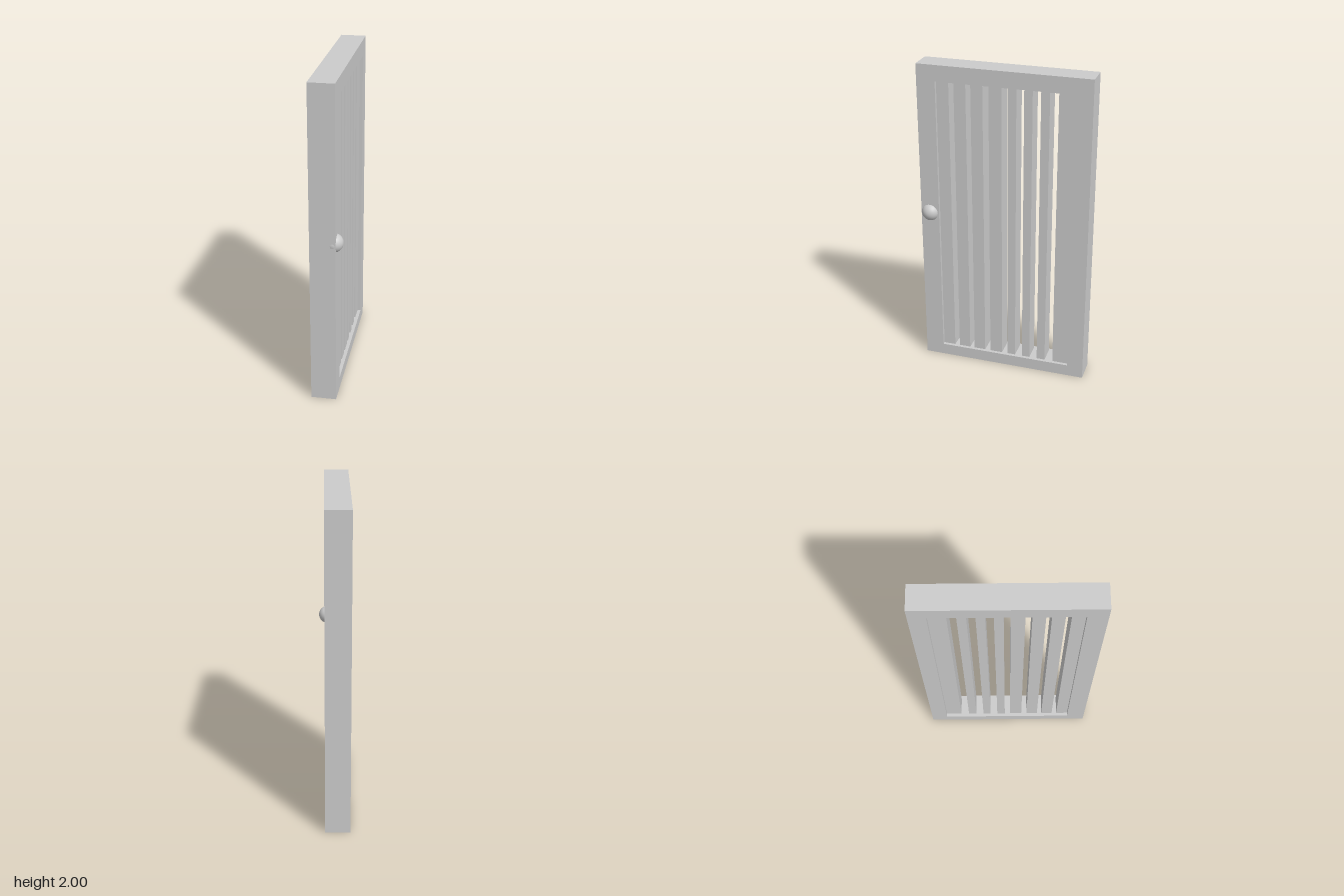
import * as THREE from 'three';

export function createModel() {
  const group = new THREE.Group();
  group.name = 'slattedDoor';
  const material = new THREE.MeshStandardMaterial({ color: 0xcccccc });

  const add = (name, geometry, x, y, z) => {
    const mesh = new THREE.Mesh(geometry, material);
    mesh.name = name;
    mesh.position.set(x, y, z);
    group.add(mesh);
    return mesh;
  };

  const back = -0.097, front = 0.057;            // thickness of the frame along x
  const zMin = -0.537, zMax = 0.535, height = 2;
  const open = { z0: -0.434, z1: 0.418, y0: 0.075, y1: 1.9 };

  // Frame: outline with a rectangular opening. Shape x runs along -z.
  const rectangle = (PathType, z0, z1, y0, y1) => new PathType([
    new THREE.Vector2(-z1, y0), new THREE.Vector2(-z0, y0),
    new THREE.Vector2(-z0, y1), new THREE.Vector2(-z1, y1),
  ]);
  const outline = rectangle(THREE.Shape, zMin, zMax, 0, height);
  outline.holes.push(rectangle(THREE.Path, open.z0, open.z1, open.y0, open.y1));
  const frame = new THREE.ExtrudeGeometry(outline, { depth: front - back, bevelEnabled: false });
  frame.rotateY(Math.PI / 2);
  add('frame', frame, back, 0, 0);

  // Vertical slats, recessed on both faces: [start z, end z]
  const recess = 0.021;
  const slats = [
    [0.341, 0.418], [0.235, 0.309], [0.13, 0.204], [0.013, 0.093],
    [-0.077, -0.024], [-0.175, -0.124], [-0.278, -0.225], [-0.434, -0.331],
  ];
  for (const [a, b] of slats) {
    const slat = new THREE.BoxGeometry(front - back - 2 * recess, open.y1 - open.y0, b - a);
    add('slat', slat, (front + back) / 2, (open.y0 + open.y1) / 2, (a + b) / 2);
  }

  // Round knob, partly sunk into the stile
  add('knob', new THREE.SphereGeometry(0.057, 32, 20), 0.037, 1.042, 0.48);

  return group;
}
